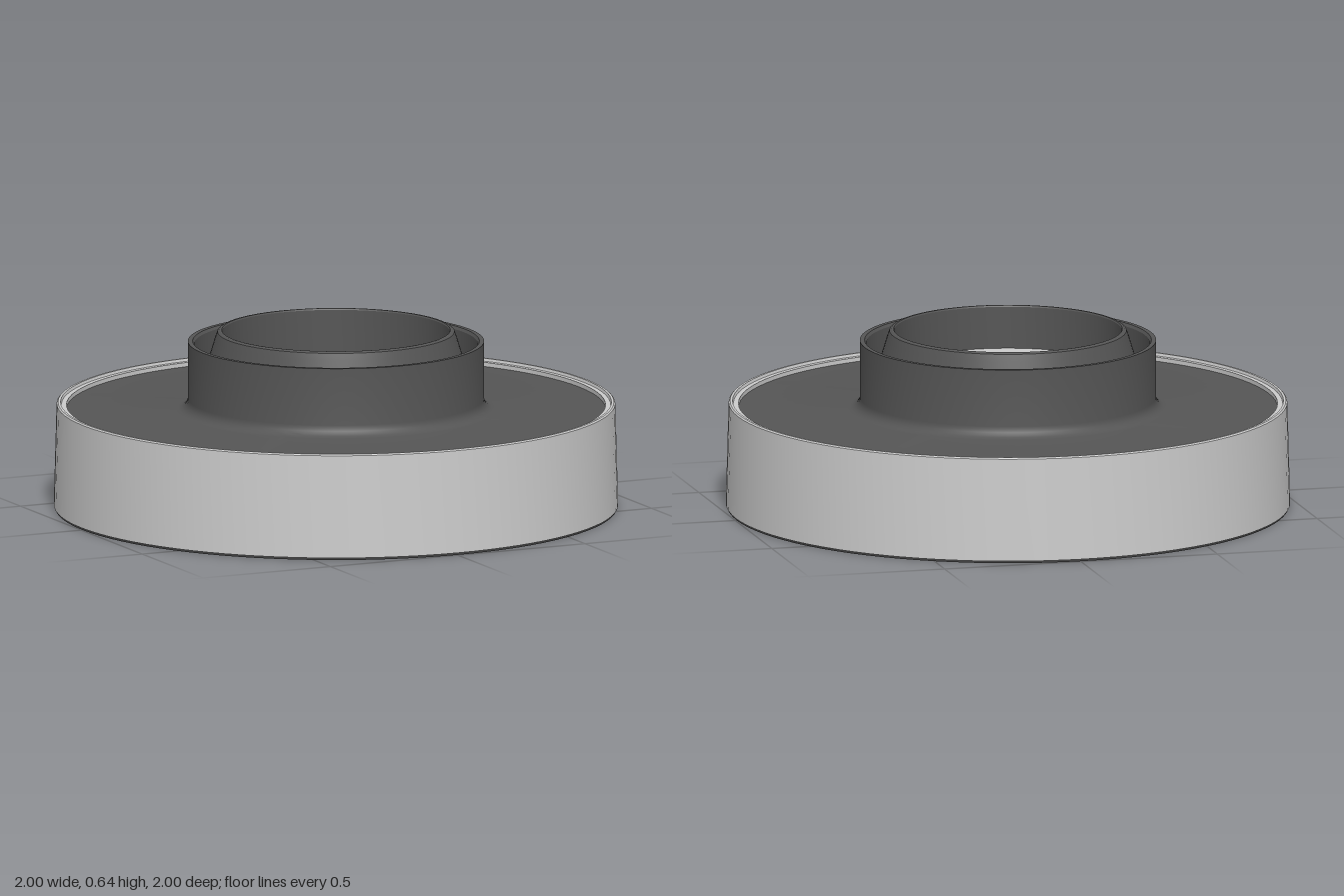
import * as THREE from 'three';
import { toCreasedNormals } from 'three/addons/utils/BufferGeometryUtils.js';

const light = new THREE.MeshStandardMaterial({ color: 0xcccccc });
const dark = new THREE.MeshStandardMaterial({ color: 0x555555 });

// Revolve a [radius, y] profile, keeping hard edges crisp.
function turned(name, profile, material) {
  const points = profile.map(([r, y]) => new THREE.Vector2(r, y));
  const mesh = new THREE.Mesh(toCreasedNormals(new THREE.LatheGeometry(points, 96), 0.5), material);
  mesh.name = name;
  return mesh;
}

// Quarter-round points between a vertical wall and a flat floor.
function fillet(radius, y, size, steps = 6) {
  return Array.from({ length: steps + 1 }, (_, i) => {
    const a = (i / steps) * Math.PI / 2;
    return [radius + size * (1 - Math.cos(a)), y + size * (1 - Math.sin(a))];
  });
}

export function createModel() {
  const group = new THREE.Group();
  group.name = 'roundFixture';

  // Dark underside
  group.add(turned('basePlate', [[0, 0], [0.995, 0], [1, 0.01], [0, 0.01]], dark));

  // Slightly tapered outer shell with a stepped rim
  group.add(turned('outerShell', [
    [1, 0.01], [0.99, 0.375], [0.985, 0.38], [0.976, 0.38], [0.973, 0.37],
    [0.955, 0.37], [0.955, 0.3],
  ], light));

  // Recessed face flowing into the raised collar
  group.add(turned('faceAndCollar', [
    [0.957, 0.355],
    ...fillet(0.525, 0.355, 0.04).reverse(),
    [0.525, 0.6], [0.508, 0.6], [0.502, 0.59], [0.502, 0.35],
  ], dark));

  // Conical ring inside the collar
  group.add(turned('innerRing', [
    [0.505, 0.36], [0.429, 0.61], [0.42, 0.635], [0.412, 0.64], [0.405, 0.64],
    [0.402, 0.635], [0.402, 0.47],
  ], dark));

  // Flat lens set into the ring
  group.add(turned('lens', [[0.404, 0.47], [0.404, 0.485], [0, 0.485]], light));

  return group;
}
